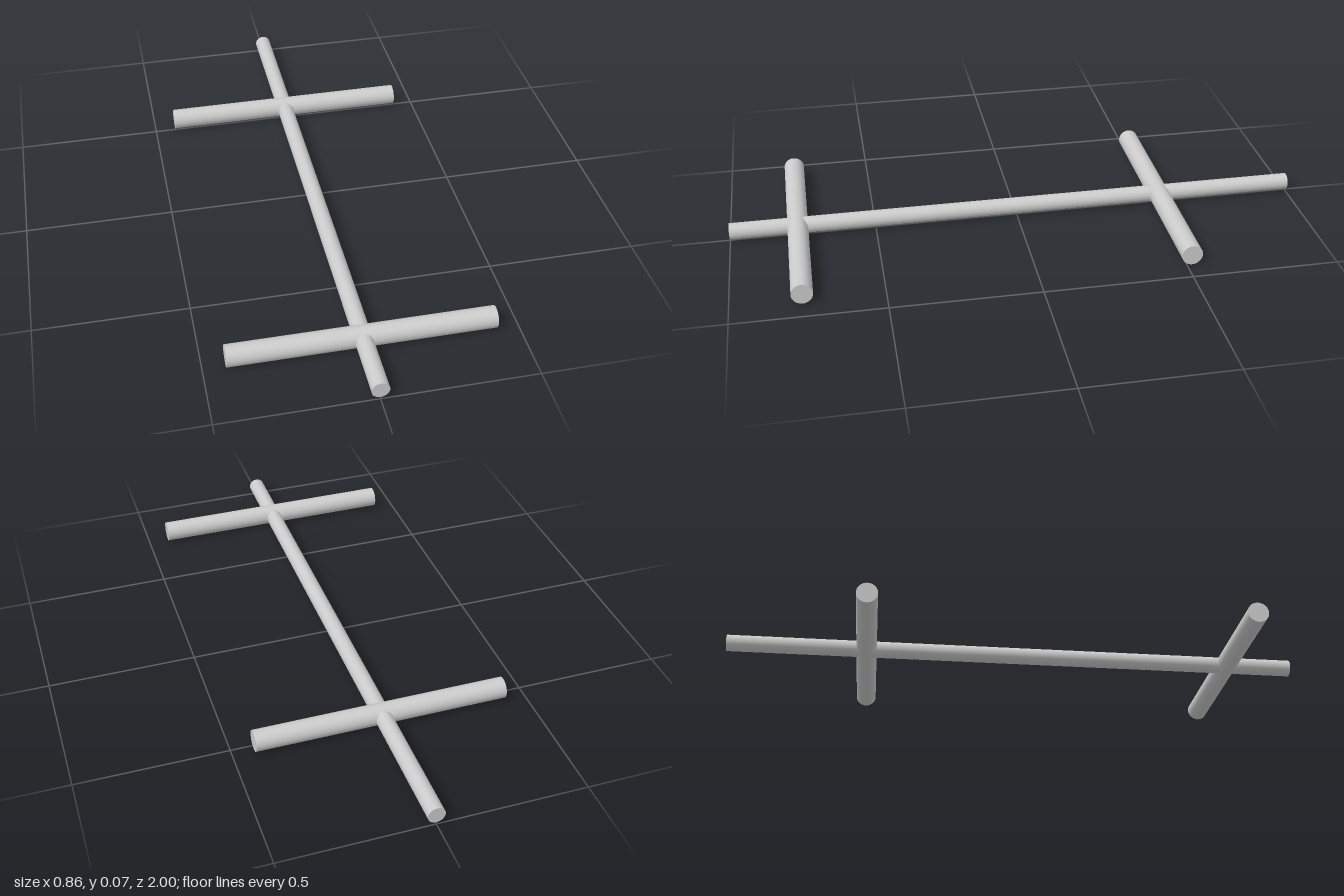
import * as THREE from 'three';

const BAR_RADIUS = 0.0355;
const SHAFT_RADIUS = 0.0285;

export function createModel() {
  const group = new THREE.Group();
  const material = new THREE.MeshStandardMaterial({ color: 0xcccccc });

  // Round capped rod, laid along x or z at the common centre height
  function addRod(name, radius, length, axis, z) {
    const geometry = new THREE.CylinderGeometry(radius, radius, length, 48);
    if (axis === 'x') geometry.rotateZ(Math.PI / 2);
    else geometry.rotateX(Math.PI / 2);
    const rod = new THREE.Mesh(geometry, material);
    rod.name = name;
    rod.position.set(0, BAR_RADIUS, z);
    group.add(rod);
  }

  // Long central shaft
  addRod('shaft', SHAFT_RADIUS, 2, 'z', 0);

  // Two thicker crossbars
  addRod('frontCrossbar', BAR_RADIUS, 0.855, 'x', 0.768);
  addRod('rearCrossbar', BAR_RADIUS, 0.855, 'x', -0.518);

  return group;
}
